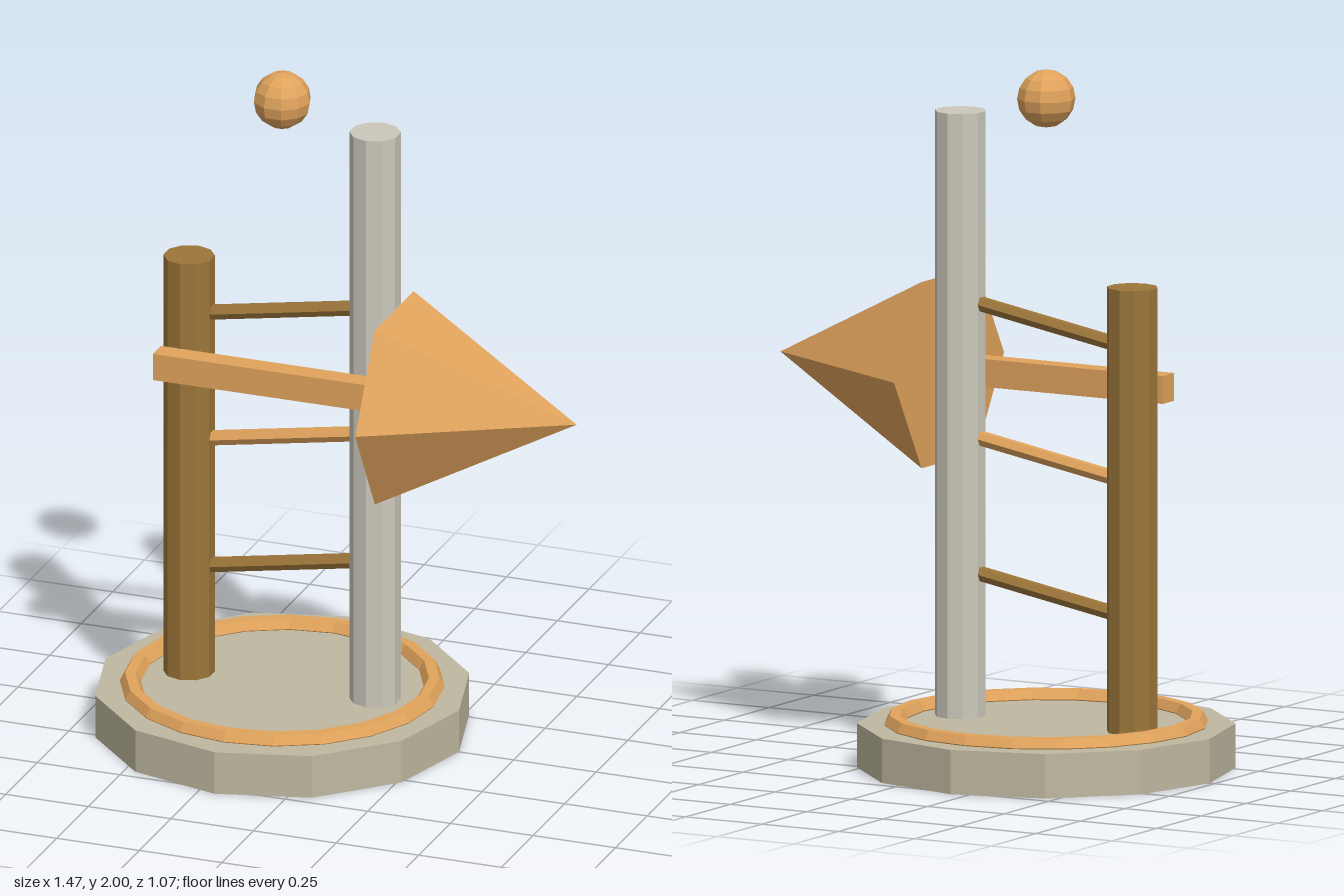
import * as THREE from 'three';

const ORANGE = 0xe0a35c, BROWN = 0x9c763a, STONE = 0xbfb8a0, PALE = 0xccc8bc;

export function createModel() {
  const group = new THREE.Group();

  const add = (name, geometry, color, x, y, z) => {
    const material = new THREE.MeshStandardMaterial({ color, flatShading: true });
    const mesh = new THREE.Mesh(geometry, material);
    mesh.name = name;
    mesh.position.set(x, y, z);
    group.add(mesh);
    return mesh;
  };

  // Twelve-sided base with a raised ring on top
  const cx = -0.2;
  add('base', new THREE.CylinderGeometry(0.535, 0.535, 0.127, 12), STONE, cx, 0.0635, 0);
  add('baseRing', new THREE.TorusGeometry(0.43, 0.03, 6, 20), ORANGE, cx, 0.13, 0)
    .rotation.x = -Math.PI / 2;

  // Two upright posts of different heights
  const addPost = (name, x, top, color) => {
    const bottom = 0.12;
    add(name, new THREE.CylinderGeometry(0.073, 0.073, top - bottom, 10), color, x, (top + bottom) / 2, 0);
  };
  addPost('shortPost', -0.482, 1.4, BROWN);
  addPost('tallPost', 0.081, 1.86, PALE);

  // Sloping rungs between the posts
  [0.5, 0.888, 1.273].forEach((y, i) => {
    const rung = add('rung', new THREE.CylinderGeometry(0.022, 0.022, 0.54, 6), i === 1 ? ORANGE : BROWN, cx, y, 0);
    rung.rotation.z = -Math.PI / 2 + 0.175;
  });

  // Arrow in front of the posts, pointing to +x
  add('arrowShaft', new THREE.BoxGeometry(0.74, 0.08, 0.064), ORANGE, -0.17, 1.1, 0.102);
  add('arrowHead', new THREE.ConeGeometry(0.308, 0.552, 6), ORANGE, 0.454, 1.1, 0.102)
    .rotation.z = -Math.PI / 2;

  // Floating ball
  add('ball', new THREE.SphereGeometry(0.083, 10, 8), ORANGE, cx, 1.917, 0);

  return group;
}
